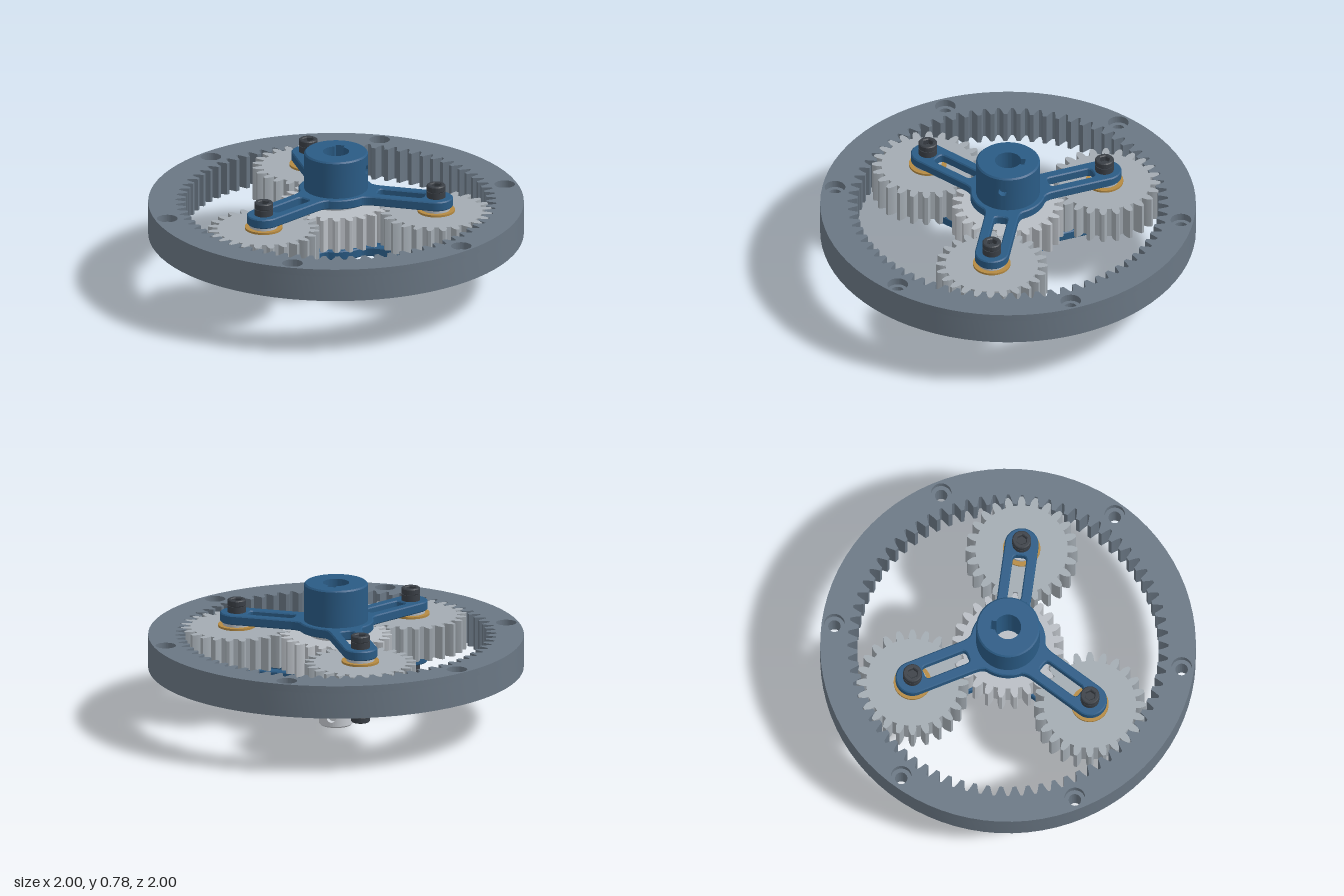
import * as THREE from 'three';
import { toCreasedNormals } from 'three/addons/utils/BufferGeometryUtils.js';

const mat = (color) => new THREE.MeshStandardMaterial({ color });
const STEEL = mat(0x6a7784), PLANET = mat(0xa3abb2), SUN = mat(0xb9bec4), SHAFT = mat(0xc6cad0);
const BLUE = mat(0x2a5b85), BRASS = mat(0xb58a42), DARK = mat(0x3a3f46);
const MODULE = 0.55 / 24, ORBIT = 0.55, MID = 0.4075;
const GEAR_LOW = 0.318, GEAR_HIGH = 0.497;
const { PI, sin, cos, acos, asin, sqrt, tan, min } = Math;

function add(parent, name, geometry, material) {
  const mesh = new THREE.Mesh(geometry, material);
  mesh.name = name;
  parent.add(mesh);
  return mesh;
}

// Extrudes a plan shape upwards from y0 to y1, with an optional chamfer
function slab(shape, y0, y1, bevel = 0, crease = 0.5) {
  const g = new THREE.ExtrudeGeometry(shape, {
    depth: y1 - y0 - 2 * bevel, curveSegments: 40, bevelEnabled: bevel > 0,
    bevelThickness: bevel, bevelSize: bevel, bevelOffset: -bevel, bevelSegments: 1,
  });
  g.rotateX(-PI / 2).translate(0, y0 + bevel, 0);
  return toCreasedNormals(g, crease);
}

function disc(r, y0, y1, sides = 48) {
  return new THREE.CylinderGeometry(r, r, y1 - y0, sides).translate(0, (y0 + y1) / 2, 0);
}

function circle(x, y, r, Type = THREE.Path) {
  return new Type().absarc(x, y, r, 0, 2 * PI, false);
}

function lathe(points) {
  const g = new THREE.LatheGeometry(points.map((p) => new THREE.Vector2(...p)), 64);
  return toCreasedNormals(g, 0.5);
}

// Involute gear outline with 20 degree pressure angle
function gearPoints(teeth, rRoot, rTip, phase) {
  const pitch = teeth * MODULE / 2, base = pitch * cos(PI / 9), steps = 5;
  const inv = (a) => tan(a) - a;
  const half = (r) => PI / (2 * teeth) + inv(PI / 9) - inv(acos(min(1, base / r)));
  const points = [];
  for (let t = 0; t < teeth; t++) {
    const mid = phase + t * 2 * PI / teeth;
    for (const side of [-1, 1]) {
      for (let i = 0; i <= steps; i++) {
        const k = (side < 0 ? i : steps - i) / steps;
        const r = rRoot + (rTip - rRoot) * k, a = mid + side * half(r);
        points.push(new THREE.Vector2(r * cos(a), r * sin(a)));
      }
    }
  }
  return points;
}

// Round bore with a keyway towards the back
function keyedBore(r, w, reach) {
  const a = asin(w / r), p = new THREE.Path();
  p.absarc(0, 0, r, PI / 2 + a, PI / 2 - a + 2 * PI, false);
  p.lineTo(w, reach);
  p.lineTo(-w, reach);
  p.closePath();
  return p;
}

// Cylinder wall with a round-ended pocket sunk into its +x side
function pocketWall(R, y0, y1, hw, lowEnd, highEnd, depth) {
  const pos = [], n = 16, floorX = R - depth;
  const quad = (a, b, c, d) => pos.push(...a, ...b, ...c, ...a, ...c, ...d);
  const at = (a, y) => [R * cos(a), y, -R * sin(a)];
  const columns = [];
  for (let i = 0; i <= n; i++) {
    const s = -hw * cos(PI * i / n), cap = sqrt(Math.max(0, hw * hw - s * s));
    columns.push({ a: asin(s / R), s, lo: lowEnd + hw - cap, hi: highEnd - hw + cap });
  }
  const floor = (c, y) => [floorX, y, -c.s];
  for (let i = 0; i < n; i++) {
    const c = columns[i], d = columns[i + 1];
    quad(at(c.a, y0), at(d.a, y0), at(d.a, d.lo), at(c.a, c.lo));
    quad(at(c.a, c.hi), at(d.a, d.hi), at(d.a, y1), at(c.a, y1));
    quad(at(c.a, c.lo), at(d.a, d.lo), floor(d, d.lo), floor(c, c.lo));
    quad(floor(c, c.hi), floor(d, d.hi), at(d.a, d.hi), at(c.a, c.hi));
    quad(floor(c, c.lo), floor(d, d.lo), floor(d, d.hi), floor(c, c.hi));
  }
  const e = columns[0], f = columns[n];
  quad(at(e.a, e.lo), floor(e, e.lo), floor(e, e.hi), at(e.a, e.hi));
  quad(floor(f, f.lo), at(f.a, f.lo), at(f.a, f.hi), floor(f, f.hi));
  for (let i = 0, m = 72; i < m; i++) {
    const a = f.a + (2 * PI - 2 * f.a) * i / m, b = f.a + (2 * PI - 2 * f.a) * (i + 1) / m;
    quad(at(a, y0), at(b, y0), at(b, y1), at(a, y1));
  }
  const g = new THREE.BufferGeometry();
  g.setAttribute('position', new THREE.Float32BufferAttribute(pos, 3));
  return toCreasedNormals(g, 0.5);
}

// Three-armed carrier outline with a rounded slot in every arm
function carrierShape(bore) {
  const hub = 0.2, w = 0.09, s = new THREE.Shape(), join = asin(w / hub), soft = join + 0.14;
  for (let i = 0; i < 3; i++) {
    const t = i * 2 * PI / 3;
    const turn = (x, y) => [x * cos(t) - y * sin(t), x * sin(t) + y * cos(t)];
    const corner = hub * cos(join);
    s.absarc(0, 0, hub, t - 2 * PI / 3 + soft, t - soft, false);
    s.quadraticCurveTo(...turn(corner, -w), ...turn(0.235, -w));
    s.absarc(...turn(ORBIT, 0), w, t - PI / 2, t + PI / 2, false);
    s.lineTo(...turn(0.235, w));
    s.quadraticCurveTo(...turn(corner, w), hub * cos(t + soft), hub * sin(t + soft));
    const slot = new THREE.Path(), x0 = 0.23, x1 = 0.485, h = 0.037, r = 0.025;
    slot.moveTo(...turn(x0 + r, -h));
    slot.lineTo(...turn(x1 - r, -h));
    slot.quadraticCurveTo(...turn(x1, -h), ...turn(x1, -h + r));
    slot.lineTo(...turn(x1, h - r));
    slot.quadraticCurveTo(...turn(x1, h), ...turn(x1 - r, h));
    slot.lineTo(...turn(x0 + r, h));
    slot.quadraticCurveTo(...turn(x0, h), ...turn(x0, h - r));
    slot.lineTo(...turn(x0, -h + r));
    slot.quadraticCurveTo(...turn(x0, -h), ...turn(x0 + r, -h));
    s.holes.push(slot);
  }
  s.holes.push(bore);
  return s;
}

// Flanged bushing, washer and socket screw on one side of a planet, measured from mid height
function pinSide() {
  const g = new THREE.Group();
  g.name = 'planetPin';
  add(g, 'bushing', disc(0.1, 0.0895, 0.101), BRASS);
  add(g, 'washer', disc(0.075, 0.101, 0.1185), SUN);
  add(g, 'screwShank', disc(0.035, 0, 0.17, 24), DARK);
  add(g, 'screwHeadBase', disc(0.05, 0.17, 0.205, 32), DARK);
  const head = circle(0, 0, 0.05, THREE.Shape);
  const hex = [0, 1, 2, 3, 4, 5].map((i) => new THREE.Vector2(0.028 * cos(i * PI / 3), 0.028 * sin(i * PI / 3)));
  head.holes.push(new THREE.Path(hex));
  add(g, 'screwHead', slab(head, 0.205, 0.24, 0.005), DARK);
  return g;
}

export function createModel() {
  const model = new THREE.Group();
  model.name = 'planetaryGearSet';

  // Ring gear: lower layer with bolt holes, upper layer with their counterbores
  const ring = new THREE.Group();
  ring.name = 'ringGear';
  model.add(ring);
  const inner = gearPoints(72, 0.825 - MODULE, 0.825 + 1.25 * MODULE, PI / 72);
  for (const [name, r, y0, y1] of [['ringBody', 0.033, GEAR_LOW, 0.457], ['ringCounterbores', 0.055, 0.457, GEAR_HIGH]]) {
    const s = circle(0, 0, 1, THREE.Shape);
    s.holes.push(new THREE.Path(inner));
    for (let i = 0; i < 6; i++) {
      const a = PI / 6 + i * PI / 3;
      s.holes.push(circle(0.932 * cos(a), 0.932 * sin(a), r));
    }
    add(ring, name, slab(s, y0, y1), STEEL);
  }

  // Sun gear with its hub
  const small = (phase) => new THREE.Shape(gearPoints(24, 0.275 - 1.25 * MODULE, 0.275 + MODULE, phase));
  add(model, 'sunGear', slab(small(0), GEAR_LOW, GEAR_HIGH), SUN);
  add(model, 'sunHub', disc(0.14, 0.308, 0.508, 64), SUN);

  // Input shaft with keyway at the back and centre hole below
  const shaftMat = SHAFT.clone();
  shaftMat.side = THREE.DoubleSide;
  add(model, 'shaft', pocketWall(0.09, 0.008, 0.32, 0.027, 0.03, 0.225, 0.035), shaftMat).rotation.y = PI / 2;
  add(model, 'shaftEnd', lathe([[0, 0.03], [0.024, 0.03], [0.024, 0], [0.082, 0], [0.09, 0.008]]), SHAFT);

  // Three planets with their pins
  const planetGeometry = slab(small(PI / 24), GEAR_LOW, GEAR_HIGH);
  for (let i = 0; i < 3; i++) {
    const arm = new THREE.Group(), planet = new THREE.Group();
    arm.name = 'planetPosition';
    planet.name = 'planet';
    arm.rotation.y = i * 2 * PI / 3;
    planet.position.x = ORBIT;
    add(planet, 'planetGear', planetGeometry, PLANET);
    for (const flip of [0, PI]) {
      const pin = pinSide();
      pin.position.y = MID;
      pin.rotation.x = flip;
      planet.add(pin);
    }
    arm.add(planet);
    model.add(arm);
  }

  // Carrier plates
  const bore = () => keyedBore(0.07, 0.024, 0.092);
  add(model, 'upperCarrier', slab(carrierShape(bore()), 0.526, 0.578, 0.006), BLUE);
  add(model, 'lowerCarrier', slab(carrierShape(circle(0, 0, 0.091)), 0.237, 0.289, 0.006), BLUE);

  // Output boss with keyed bore and set screw hole
  const blueWall = BLUE.clone();
  blueWall.side = THREE.DoubleSide;
  add(model, 'bossWall', pocketWall(0.17, 0.57, 0.775, 0.025, 0.67, 0.72, 0.035), blueWall);
  add(model, 'bossRim', lathe([[0.17, 0.775], [0.162, 0.783], [0.12, 0.783]]), BLUE);
  const sleeve = circle(0, 0, 0.125, THREE.Shape);
  sleeve.holes.push(bore());
  add(model, 'bossSleeve', slab(sleeve, 0.57, 0.783), BLUE);

  return model;
}
